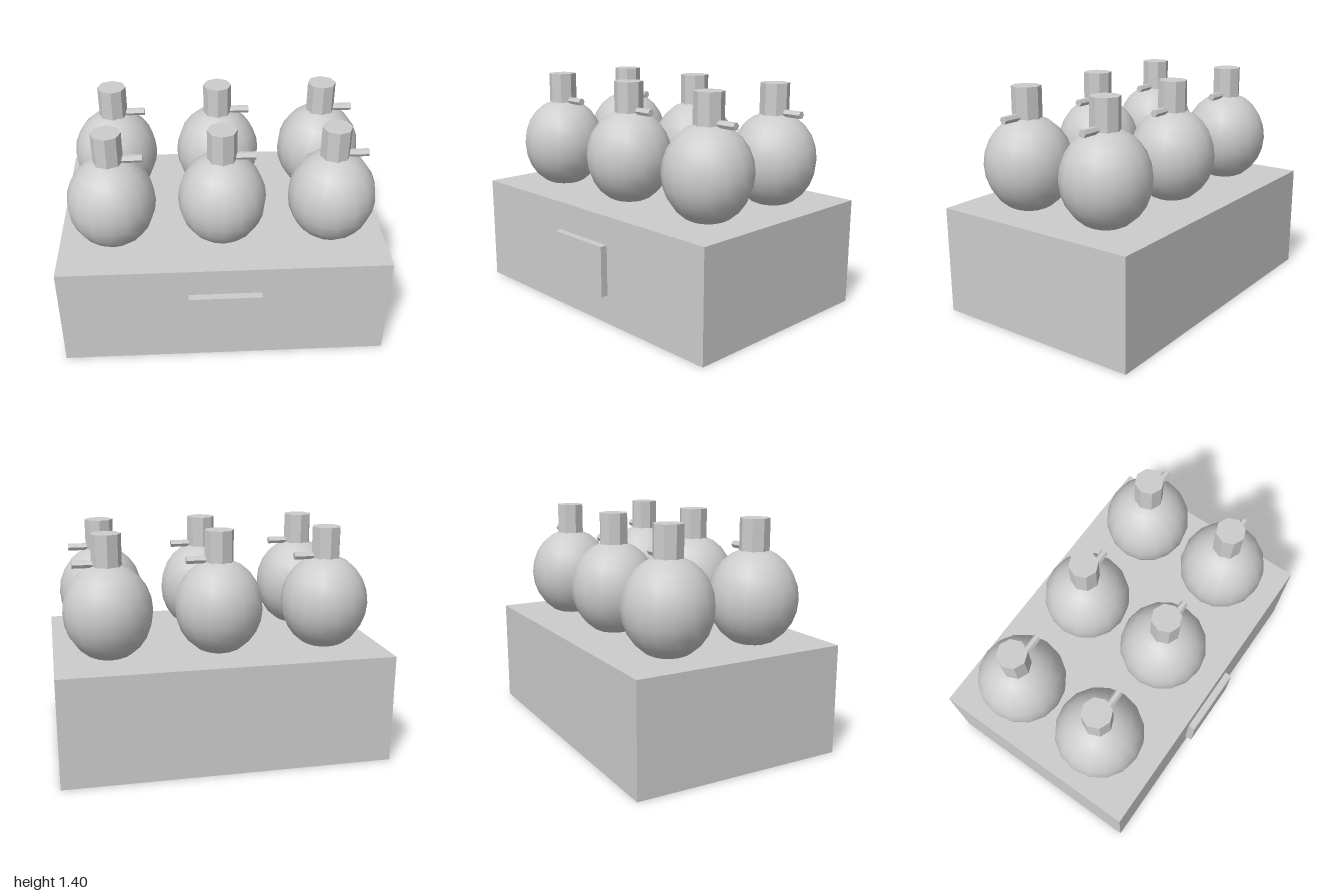
import * as THREE from 'three';

const grey = new THREE.MeshStandardMaterial({ color: 0xcccccc });
grey.name = 'grey';

// Faceted prism: every side keeps its own normal
function prism(radius, length, sides) {
  const g = new THREE.CylinderGeometry(radius, radius, length, sides).toNonIndexed();
  g.computeVertexNormals();
  return g;
}

function addPart(parent, name, geometry, x, y, z) {
  const mesh = new THREE.Mesh(geometry, grey);
  mesh.name = name;
  mesh.position.set(x, y, z);
  parent.add(mesh);
  return mesh;
}

export function createModel() {
  const model = new THREE.Group();
  model.name = 'bottleCrate';

  // Solid crate with a raised plate on its front
  addPart(model, 'crate', new THREE.BoxGeometry(2, 0.667, 1.333), 0, 0.3335, -0.022);
  addPart(model, 'frontPlate', new THREE.BoxGeometry(0.444, 0.311, 0.045), 0, 0.3345, 0.6665);

  // Shared bottle geometry
  const bodyGeometry = new THREE.SphereGeometry(0.267, 16, 12).scale(1, 1.1, 1);
  const neckGeometry = prism(0.089, 0.222, 8);
  const spoutGeometry = prism(0.0235, 0.133, 6).rotateZ(-Math.PI / 2);

  // Two rows of three round bottles, spouts toward +x
  for (const z of [0.267, -0.311]) {
    for (const x of [-0.667, 0, 0.667]) {
      const bottle = new THREE.Group();
      bottle.name = 'bottle';
      bottle.position.set(x, 0, z);
      addPart(bottle, 'body', bodyGeometry, 0, 0.935, 0);
      addPart(bottle, 'neck', neckGeometry, 0, 1.289, 0);
      addPart(bottle, 'spout', spoutGeometry, 0.1335, 1.224, 0);
      model.add(bottle);
    }
  }
  return model;
}
